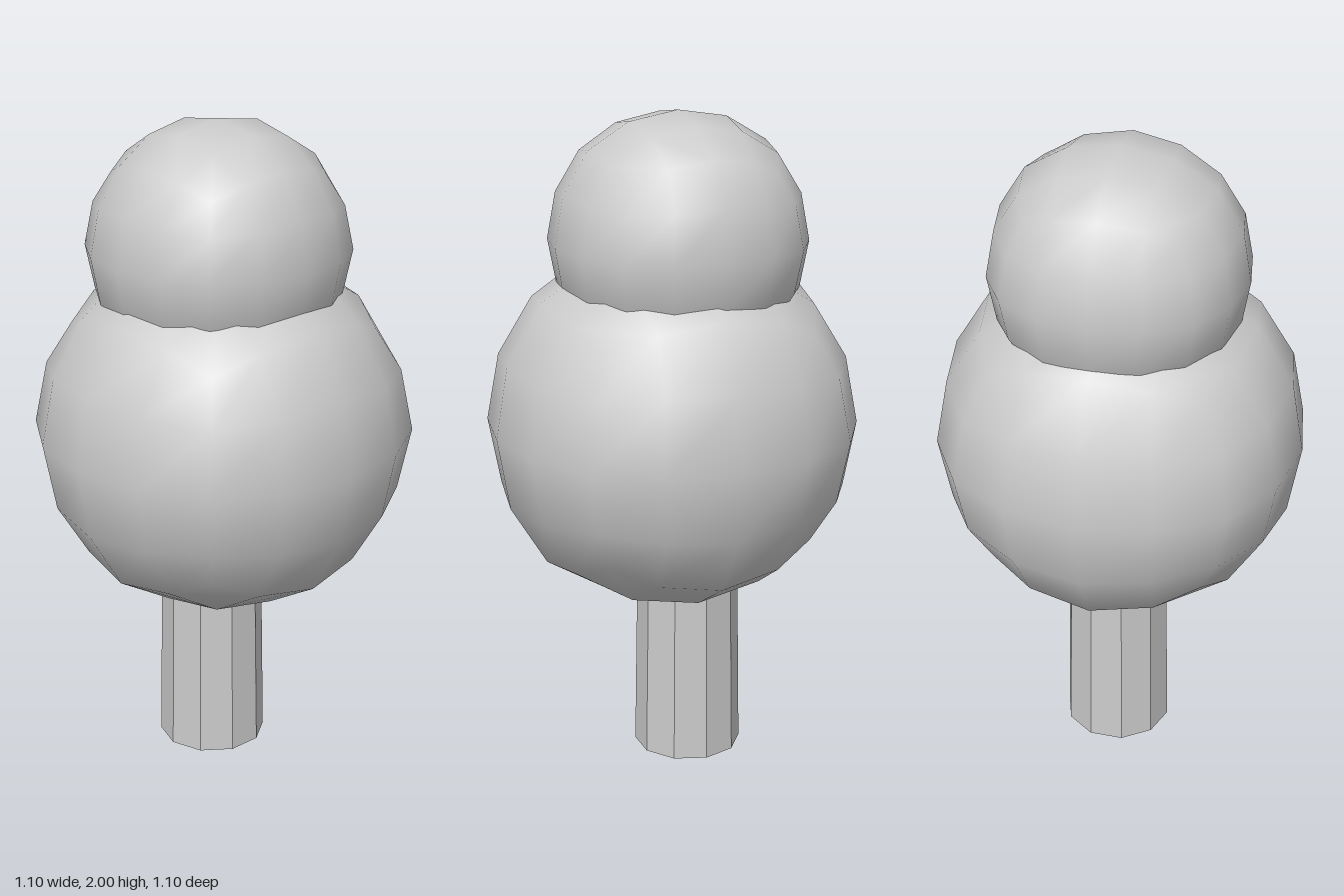
import * as THREE from 'three';
import { mergeVertices } from 'three/addons/utils/BufferGeometryUtils.js';

// Grid steps from the cube's centre (sorted, largest first) -> rounded position per step
const ROUNDED = {
  '200': { 2: 1, 0: 0 },
  '210': { 2: 0.933, 1: 0.399, 0: 0 },
  '220': { 2: 0.732, 0: 0 },
  '211': { 2: 0.87, 1: 0.371 },
  '221': { 2: 0.682, 1: 0.344 },
  '222': { 2: 0.579 },
};

// Smooth ball made by rounding a 4 x 4 x 4 cube, like a twice-subdivided box
function roundedCube(radius) {
  let geo = new THREE.BoxGeometry(4, 4, 4, 4, 4, 4);
  geo.deleteAttribute('normal');
  geo.deleteAttribute('uv');
  geo = mergeVertices(geo);
  const pos = geo.attributes.position;
  for (let i = 0; i < pos.count; i++) {
    const p = [pos.getX(i), pos.getY(i), pos.getZ(i)].map(Math.round);
    const steps = p.map(Math.abs);
    const row = ROUNDED[[...steps].sort((a, b) => b - a).join('')];
    const [x, y, z] = p.map((v, k) => Math.sign(v) * row[steps[k]] * radius);
    pos.setXYZ(i, x, y, z);
  }
  geo.computeVertexNormals();
  return geo;
}

export function createModel() {
  const group = new THREE.Group();
  const smooth = new THREE.MeshStandardMaterial({ color: 0xcccccc });
  const flat = new THREE.MeshStandardMaterial({ color: 0xcccccc, flatShading: true });

  const add = (name, geo, material, x, y, z) => {
    const mesh = new THREE.Mesh(geo, material);
    mesh.name = name;
    mesh.position.set(x, y, z);
    group.add(mesh);
  };

  // Ten-sided, slightly tapering trunk running up into the foliage
  const trunk = new THREE.CylinderGeometry(0.152, 0.165, 0.8, 10);
  trunk.rotateY(Math.PI / 2);
  add('trunk', trunk, flat, 0, 0.4, -0.053);

  // Two overlapping balls of foliage
  add('lowerFoliage', roundedCube(0.55), smooth, 0, 1.065, 0);
  add('upperFoliage', roundedCube(0.38), smooth, 0, 1.62, -0.02);

  return group;
}
